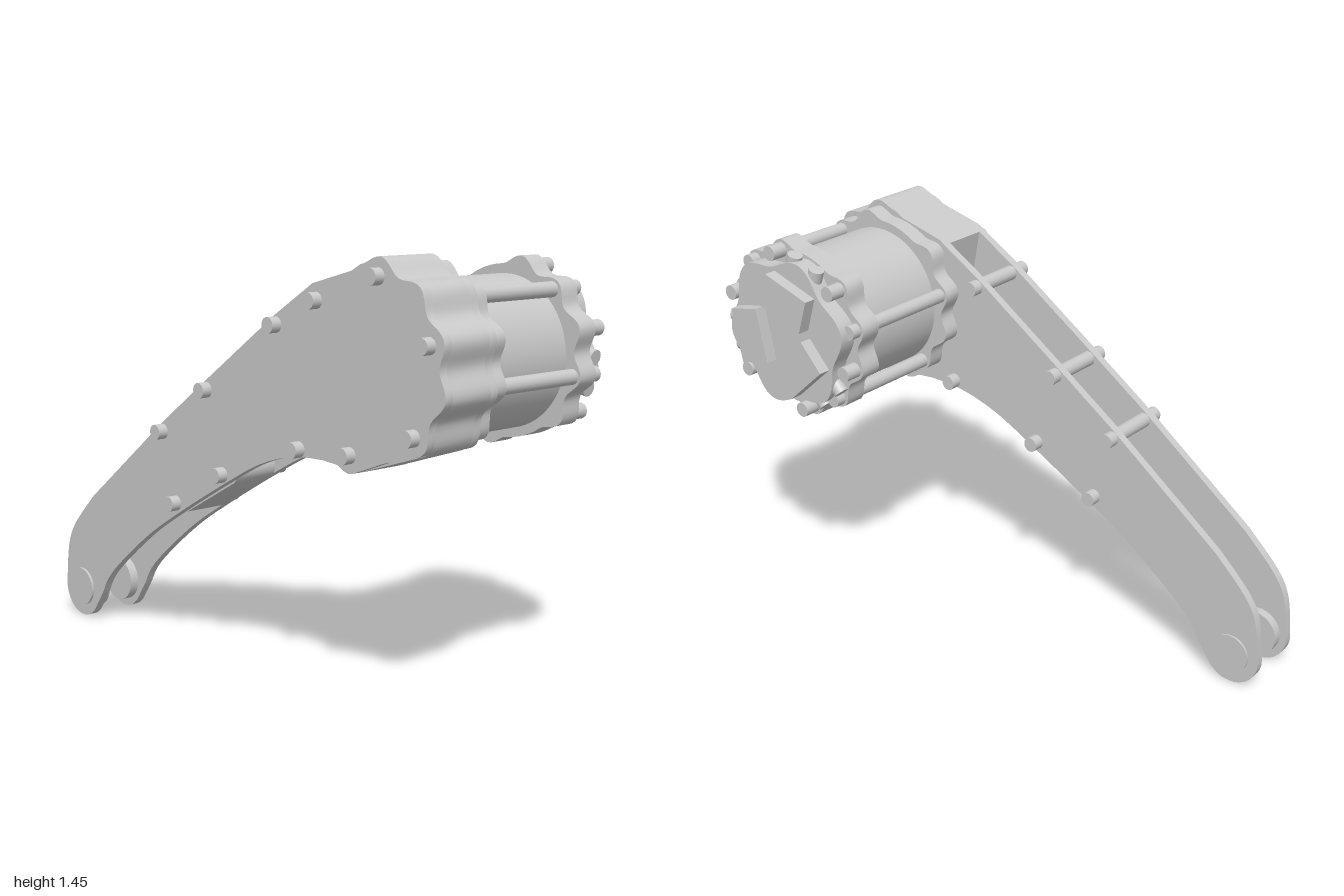
import * as THREE from 'three';
import { toCreasedNormals } from 'three/addons/utils/BufferGeometryUtils.js';

const CX = 0.655, CY = 1.113; // motor axis
const RAD = Math.PI / 180;
const polar = (r, deg) => [CX + r * Math.cos(deg * RAD), CY + r * Math.sin(deg * RAD)];

// scalloped rim: a lobe every 30 degrees, left out at 108 and 288
function rim(peak, valley, deg) {
  const gap = Math.abs(((((deg - 108) % 180) + 270) % 180) - 90) < 15;
  return gap ? valley : (peak + valley) / 2 + (peak - valley) / 2 * Math.cos(12 * (deg - 18) * RAD);
}
function rimPoints(peak, valley, from, to, step = 3) {
  const pts = [];
  for (let a = from; a >= to; a -= step) pts.push(polar(rim(peak, valley, a), a));
  return pts;
}
function spline(pts, n) {
  return new THREE.SplineCurve(pts.map(p => new THREE.Vector2(...p))).getPoints(n).map(v => [v.x, v.y]);
}
// rounded bar outline around two points
function capsule([x0, y0], [x1, y1], r) {
  const dir = Math.atan2(y1 - y0, x1 - x0);
  const pts = [];
  for (const [x, y, start] of [[x1, y1, dir - Math.PI / 2], [x0, y0, dir + Math.PI / 2]]) {
    for (let i = 0; i <= 12; i++) {
      const a = start + Math.PI * i / 12;
      pts.push([x + r * Math.cos(a), y + r * Math.sin(a)]);
    }
  }
  return pts;
}

export function createModel() {
  const group = new THREE.Group();
  const metal = new THREE.MeshStandardMaterial({ color: 0xcacaca });
  metal.name = 'light grey metal';

  function add(name, geometry) {
    const mesh = new THREE.Mesh(geometry, metal);
    mesh.name = name;
    group.add(mesh);
    return mesh;
  }
  // flat outline extruded from z0 to z1
  function slab(name, pts, z0, z1) {
    const shape = new THREE.Shape(pts.map(p => new THREE.Vector2(...p)));
    const geo = new THREE.ExtrudeGeometry(shape, { depth: z1 - z0, bevelEnabled: false });
    geo.translate(0, 0, z0);
    return add(name, toCreasedNormals(geo, 0.5));
  }
  // cylinder along z
  function rod(name, x, y, r, z0, z1, seg = 20) {
    const geo = new THREE.CylinderGeometry(r, r, z1 - z0, seg);
    geo.rotateX(Math.PI / 2);
    geo.translate(x, y, (z0 + z1) / 2);
    return add(name, geo);
  }

  // leg side plates
  const headRim = [...rimPoints(0.347, 0.314, 93, -45), [0.875, 0.862], [0.745, 0.827],
    [0.61, 0.776], [0.59, 0.772], [0.565, 0.78], [0.54, 0.794]];
  const upper = spline([[-1, 0.115], [-0.98, 0.265], [-0.93, 0.36], [-0.805, 0.485]], 15);
  const lower = spline([[0.47, 0.8], [0.33, 0.791], [0.17, 0.745], [0, 0.66], [-0.26, 0.515],
    [-0.47, 0.385], [-0.69, 0.21], [-0.765, 0.105], [-0.815, 0.035]], 40);
  const foot = [];
  for (let a = -60; a > -175; a -= 10) {
    foot.push([-0.893 + 0.108 * Math.cos(a * RAD), 0.11 + 0.11 * Math.sin(a * RAD)]);
  }
  const outline = [...upper, [-0.36, 0.825], [-0.11, 1.001], [0.25, 1.25], [0.425, 1.358],
    [0.6, 1.405], ...headRim, ...lower, ...foot];
  slab('frontSidePlate', outline, 0.374, 0.405);
  slab('rearSidePlate', outline, 0.174, 0.205);

  // gearbox filling the head between the plates
  slab('gearboxHousing', [[0.4, 1.342], [0.425, 1.358], [0.6, 1.405], ...headRim, [0.5, 0.8]], 0.205, 0.374);

  // rounded blocks between the plates: mid leg and under the head
  slab('spacerBlock', capsule([-0.285, 0.554], [-0.035, 0.69], 0.05), 0.205, 0.374);
  slab('headPad', capsule([0.59, 0.832], [0.865, 0.92], 0.06), 0.205, 0.374);

  // pins through both plates
  for (const [x, y] of [[0.25, 1.215], [-0.11, 0.965], [-0.36, 0.79], [-0.29, 0.54], [-0.03, 0.68], [0.36, 0.82]]) {
    rod('platePin', x, y, 0.027, 0.134, 0.443);
  }

  // knee pivots
  for (const s of [-1, 1]) {
    const z = d => 0.29 + s * d;
    const span = (p, q) => [Math.min(z(p), z(q)), Math.max(z(p), z(q))];
    rod('pivotBoss', -0.89, 0.115, 0.085, ...span(0.05, 0.085), 40);
    rod('pivotCap', -0.89, 0.115, 0.072, ...span(0.08, 0.124), 40);
  }

  // motor body with scalloped flanges
  const flange = rimPoints(0.325, 0.29, 357, 0);
  slab('frontFlange', flange, 0.108, 0.174);
  slab('rearFlange', flange, -0.335, -0.253);
  rod('motorBody', CX, CY, 0.258, -0.253, 0.108, 64);

  // housing bolts, front and rear
  for (let i = 0; i < 6; i++) {
    const [x, y] = polar(0.287, 18 + 60 * i);
    if (i !== 3) rod('headBolt', x, y, 0.027, 0.4, 0.443);
    rod('rearBolt', x, y, 0.027, -0.396, -0.33);
  }
  // tie rods along the motor
  for (const a of [48, -12, 168, 228]) {
    rod('tieRod', ...polar(0.29, a), 0.026, -0.372, 0.11);
  }

  // rear cover, notched beside each bolt
  const cover = [];
  for (let a = 357; a >= 0; a -= 3) cover.push(polar(0.262 - 0.02 * Math.cos(6 * (a - 18) * RAD), a));
  slab('rearCover', cover, -0.4, -0.33);

  // three raised terminal blocks, each with a pair of radial connectors
  for (const a of [108, -12, 228]) {
    const block = add('terminalBlock', new THREE.BoxGeometry(0.13, 0.2, 0.05));
    const [bx, by] = polar(0.14, a);
    block.position.set(bx, by, -0.42);
    block.rotation.z = a * RAD;
    for (const t of [-0.053, 0.053]) {
      const plug = add('connector', new THREE.CylinderGeometry(0.027, 0.027, 0.1, 20));
      const [px, py] = polar(0.237, a);
      plug.position.set(px - t * Math.sin(a * RAD), py + t * Math.cos(a * RAD), -0.364);
      plug.rotation.z = (a - 90) * RAD;
    }
  }
  return group;
}
